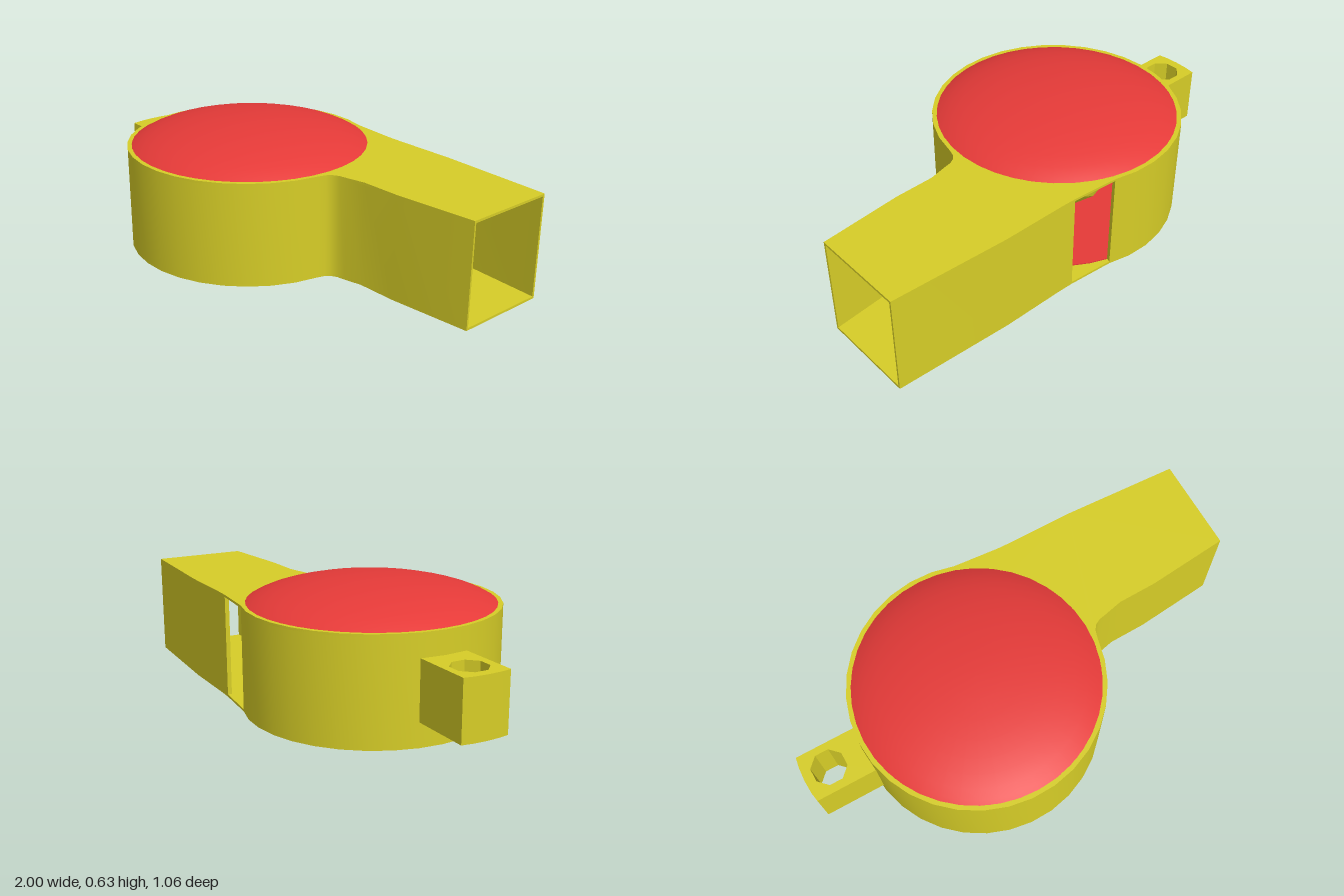
import * as THREE from 'three';
import { toCreasedNormals } from 'three/addons/utils/BufferGeometryUtils.js';

const CX = -0.21, R = 0.53, LOW = 0.095, HIGH = 0.54, MID = (LOW + HIGH) / 2;
const yellow = new THREE.MeshStandardMaterial({ color: 0xd6cd27 });
const red = new THREE.MeshStandardMaterial({ color: 0xe53a38 });
const ballMaterial = new THREE.MeshStandardMaterial({ color: 0xd6cd27, flatShading: true });

// Plan shapes are drawn in (x, -z) and raised along y.
function raise(shape, y0, y1) {
  const g = new THREE.ExtrudeGeometry(shape, { depth: y1 - y0, bevelEnabled: false, curveSegments: 16 });
  g.rotateX(-Math.PI / 2).translate(0, y0, 0);
  return toCreasedNormals(g, 0.6);
}

// Thin wall following an open outline, thickened to its left (the inside).
function wallShape(pts) {
  const inner = pts.map((p, i) => {
    const a = pts[Math.max(i - 1, 0)], b = pts[Math.min(i + 1, pts.length - 1)];
    const d = b.clone().sub(a).normalize();
    const t = p.x > 0.34 ? 0.009 : 0.018;
    return new THREE.Vector2(p.x - d.y * t, p.y + d.x * t);
  });
  return new THREE.Shape([...pts, ...inner.reverse()]);
}

export function createModel() {
  const model = new THREE.Group();
  const add = (name, geometry, material = yellow) => {
    const mesh = new THREE.Mesh(geometry, material);
    mesh.name = name;
    model.add(mesh);
    return mesh;
  };
  const v = (x, y) => new THREE.Vector2(x, y);

  // Outline: round chamber, fillet, then the tapering mouthpiece
  const front = [];
  for (let i = 0; i <= 26; i++) {
    const a = THREE.MathUtils.degToRad(72 + (280 * i) / 26);
    front.push(v(CX + R * Math.cos(a), R * Math.sin(a)));
  }
  front.push(v(0.325, -0.04), v(0.34, -0.02), v(0.365, -0.006), v(0.4, 0.001),
    v(0.48, 0.019), v(0.65, 0.022), v(1, 0.055));
  const back = [v(1, 0.46), v(0.5, 0.485), v(0.22, 0.485), v(0.155, 0.487)];

  // Side walls, leaving the air window open at the back
  add('chamberAndFrontWall', raise(wallShape(front), LOW + 0.005, HIGH - 0.005));
  add('mouthpieceBackWall', raise(wallShape(back), LOW + 0.005, HIGH - 0.005));

  // Thin top and bottom plates with a round opening for the caps
  const plate = new THREE.Shape([...front, ...back, v(0, 0.5)]);
  plate.holes.push(new THREE.Path().absarc(CX, 0, 0.51, 0, Math.PI * 2, true));
  add('bottomPlate', raise(plate, LOW, LOW + 0.01));
  add('topPlate', raise(plate, HIGH - 0.01, HIGH));

  // Domed caps, mirrored top and bottom
  const profile = [[0, 0.208], [0.513, 0.208], [0.513, 0.221], [0.49, 0.234], [0.45, 0.252], [0.4, 0.268],
    [0.34, 0.283], [0.27, 0.296], [0.19, 0.306], [0.1, 0.313], [0, 0.316]].map(([x, y]) => v(x, y));
  const capGeometry = toCreasedNormals(new THREE.LatheGeometry(profile, 40), 0.6);
  for (const [name, turn] of [['topCap', 0], ['bottomCap', Math.PI]]) {
    const cap = add(name, capGeometry, red);
    cap.position.set(CX, MID, 0);
    cap.rotation.x = turn;
  }

  // Faceted ball loose in the chamber
  const ball = add('ball', new THREE.IcosahedronGeometry(0.212, 1), ballMaterial);
  ball.position.set(CX, MID, -0.06);

  // Cord lug with an eight-sided hole
  const lug = new THREE.Shape([v(-0.722, -0.1), v(-0.722, 0.104), v(-0.99, 0.104), v(-0.997, 0.06),
    v(-1, 0), v(-0.997, -0.06), v(-0.99, -0.1)]);
  const hole = [];
  for (let i = 0; i < 8; i++) {
    const a = ((i + 0.5) / 8) * Math.PI * 2;
    hole.push(v(-0.89 + 0.075 * Math.cos(a), 0.004 + 0.075 * Math.sin(a)));
  }
  lug.holes.push(new THREE.Path(hole));
  add('cordLug', raise(lug, 0.197, 0.443));

  return model;
}
